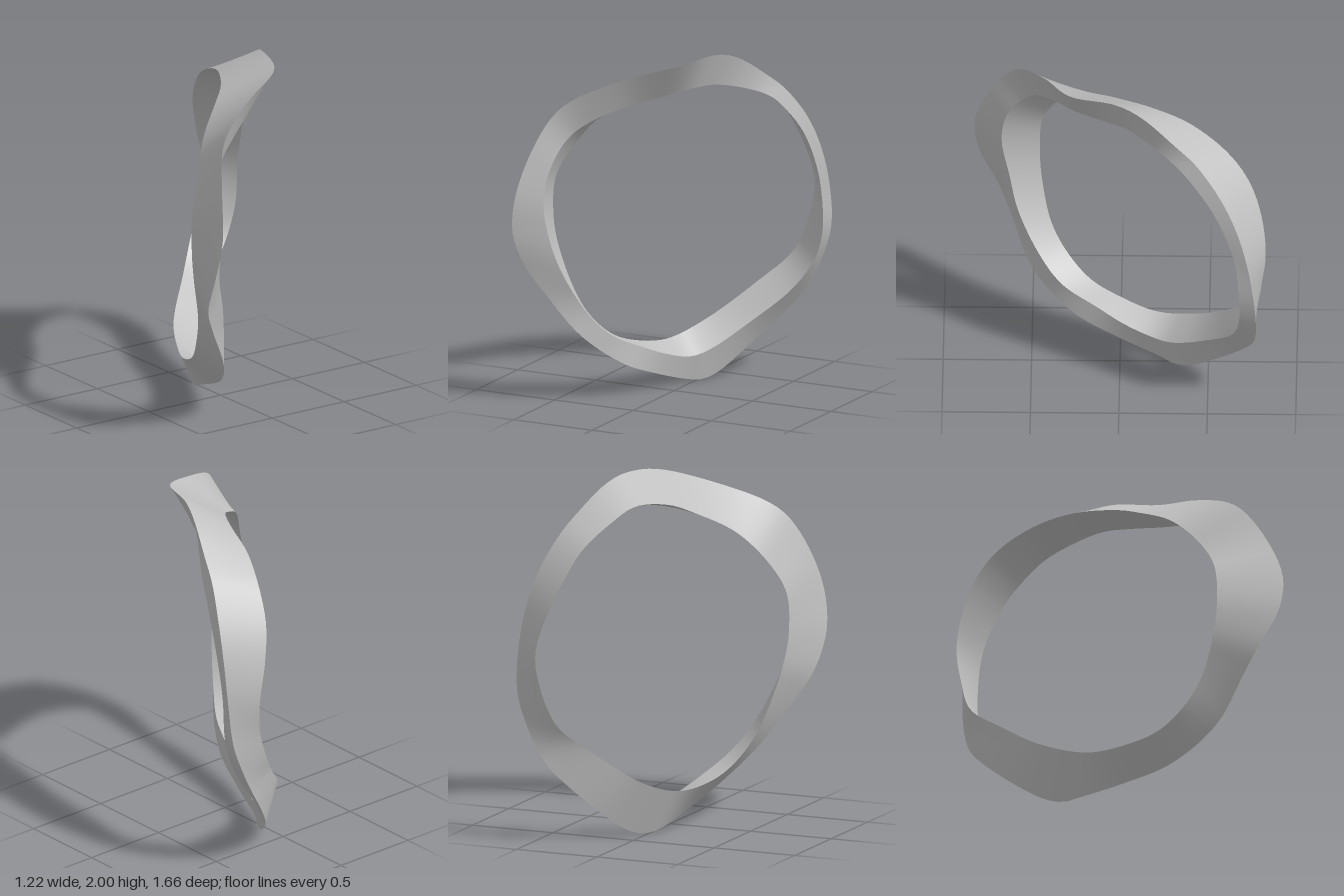
import * as THREE from 'three';

const SEGMENTS = 120;

// Three closed ridge lines of the triangular section: [x, y, z] points around the ring
const outerRidge = [
  [.28, 2, .02], [.18, 1.98, .27], [-.12, 1.89, .43], [-.35, 1.785, .56], [-.44, 1.7, .63],
  [-.52, 1.51, .74], [-.58, 1.25, .83], [-.61, 1.02, .8], [-.58, .8, .69], [-.5, .65, .62],
  [-.34, .4, .5], [-.19, .2, .27], [-.1, .085, 0], [-.03, .01, -.23], [.02, 0, -.3],
  [.07, .025, -.39], [.2, .18, -.58], [.4, .42, -.75], [.46, .51, -.77], [.53, .65, -.775],
  [.6, .85, -.765], [.61, 1.1, -.73], [.59, 1.33, -.67], [.55, 1.53, -.58], [.48, 1.72, -.44],
  [.43, 1.82, -.32], [.34, 1.96, -.12],
];
const frontRidge = [
  [.18, 1.81, .08], [.03, 1.77, .25], [-.18, 1.7, .395], [-.38, 1.57, .52], [-.45, 1.4, .64],
  [-.48, 1.2, .676], [-.46, .95, .63], [-.4, .75, .58], [-.3, .5, .45], [-.22, .37, .33],
  [-.14, .27, .13], [-.07, .2, -.03], [0, .15, -.22], [.07, .18, -.31], [.22, .31, -.49],
  [.42, .5, -.64], [.54, .68, -.68], [.59, .85, -.68], [.59, 1.1, -.66], [.58, 1.25, -.62],
  [.55, 1.45, -.53], [.5, 1.6, -.42], [.45, 1.7, -.32], [.35, 1.77, -.18], [.24, 1.81, -.03],
];
const backRidge = [
  [0, 1.84, 0], [-.1, 1.79, .09], [-.3, 1.66, .25], [-.45, 1.45, .395], [-.52, 1.29, .45],
  [-.53, 1.08, .46], [-.51, .92, .45], [-.44, .65, .395], [-.385, .47, .3], [-.315, .335, .165],
  [-.25, .265, 0], [-.15, .24, -.2], [-.02, .32, -.43], [.2, .52, -.64], [.35, .68, -.775],
  [.44, .9, -.81], [.46, 1.1, -.83], [.4, 1.32, -.805], [.33, 1.51, -.735], [.27, 1.67, -.61],
  [.18, 1.8, -.4], [.12, 1.86, -.2],
];

// Angle of a point about the ring's centre, in the ring's slanted upright plane
const ringAngle = (p) => Math.atan2(p.y - 1, .8 * p.z - .6 * p.x);

// Smooths a ridge and resamples it at even ring angles so that the three line up
function sampleRidge(points) {
  const curve = new THREE.CatmullRomCurve3(points.map((p) => new THREE.Vector3(...p)), true);
  const dense = curve.getPoints(1600).slice(0, -1)
    .map((p) => ({ p, angle: ringAngle(p) }))
    .sort((a, b) => a.angle - b.angle);
  const samples = [];
  for (let k = 0; k < SEGMENTS; k++) {
    const target = -Math.PI + (k + .5) / SEGMENTS * Math.PI * 2;
    samples.push((dense.find((d) => d.angle >= target) || dense[0]).p);
  }
  return samples;
}

// Closed strip of surface between two ridges
function strip(a, b) {
  const positions = [], index = [];
  for (let k = 0; k < SEGMENTS; k++) {
    positions.push(...a[k].toArray(), ...b[k].toArray());
    const i = 2 * k, j = 2 * ((k + 1) % SEGMENTS);
    index.push(i, i + 1, j, i + 1, j + 1, j);
  }
  const geometry = new THREE.BufferGeometry();
  geometry.setAttribute('position', new THREE.Float32BufferAttribute(positions, 3));
  geometry.setIndex(index);
  geometry.computeVertexNormals();
  return geometry;
}

export function createModel() {
  const group = new THREE.Group();
  group.name = 'twistedRing';
  const grey = new THREE.MeshStandardMaterial({ color: 0xc0c0c0 });
  grey.name = 'grey';

  const [outer, front, back] = [outerRidge, frontRidge, backRidge].map(sampleRidge);

  // Three smooth faces meeting at sharp ridges
  const faces = { frontFace: [outer, front], innerFace: [front, back], backFace: [back, outer] };
  for (const [name, [a, b]] of Object.entries(faces)) {
    const mesh = new THREE.Mesh(strip(a, b), grey);
    mesh.name = name;
    group.add(mesh);
  }
  return group;
}
